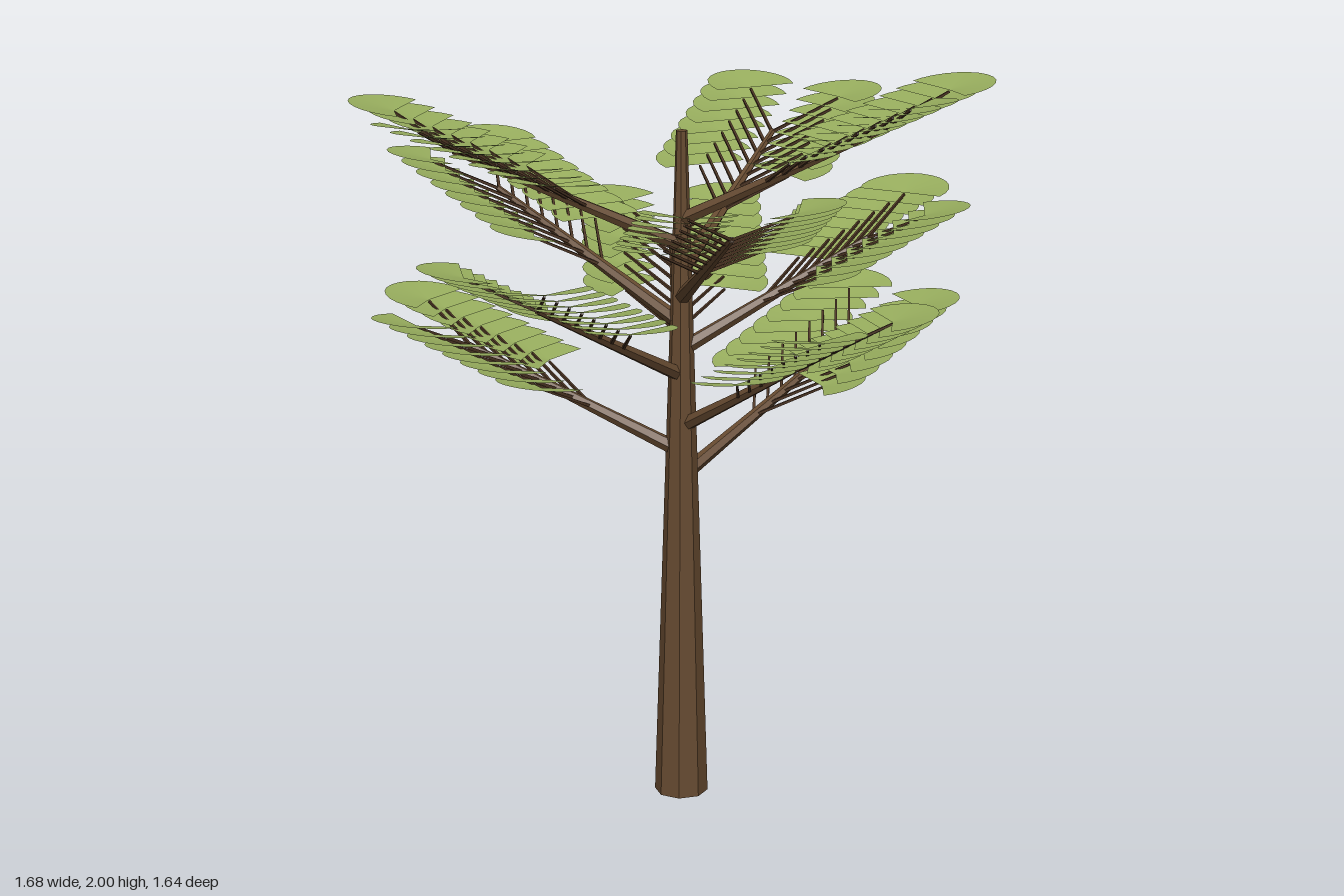
import * as THREE from 'three';

const bark = new THREE.MeshStandardMaterial({ color: 0x664a30, flatShading: true });
const twigBark = new THREE.MeshStandardMaterial({ color: 0x4a3322, flatShading: true });
const green = new THREE.MeshStandardMaterial({ color: 0x98ae5e, side: THREE.DoubleSide });

const BRANCHES = 11, LEAVES = 8;
const { degToRad, lerp } = THREE.MathUtils;
const GOLDEN = degToRad(137.5);

// Three branch kinds in turn: horizontal reach and steepness
const KINDS = [
  { reach: 0.605, slope: 0.475 },
  { reach: 0.56, slope: 0.51 },
  { reach: 0.495, slope: 0.58 },
];

// Slightly cupped fan, open at the back, pointing along +x
const FAN = degToRad(210);
const leafGeometry = new THREE.ConeGeometry(0.12, 0.012, 14, 1, true, Math.PI / 2 - FAN / 2, FAN);
leafGeometry.translate(0, -0.006, 0);
leafGeometry.rotateX(Math.PI);

// Tapered rod between two points
function rod(name, from, to, r0, r1, sides, material) {
  const dir = to.clone().sub(from);
  const mesh = new THREE.Mesh(new THREE.CylinderGeometry(r1, r0, dir.length(), sides), material);
  mesh.position.copy(from).addScaledVector(dir, 0.5);
  mesh.quaternion.setFromUnitVectors(new THREE.Vector3(0, 1, 0), dir.normalize());
  mesh.name = name;
  return mesh;
}

// Branch pointing along +x with a row of leaves on each side
function createBranch({ reach, slope }) {
  const branch = new THREE.Group();
  branch.name = 'branch';
  const tip = new THREE.Vector3(reach, reach * slope, 0);
  branch.add(rod('branchStem', new THREE.Vector3(), tip, 0.021, 0.008, 6, bark));

  for (let i = 0; i < LEAVES; i++) {
    const x = lerp(reach * 0.42, reach - 0.005, i / (LEAVES - 1));
    const start = new THREE.Vector3(x, x * slope, 0);
    for (const side of [-1, 1]) {
      const end = new THREE.Vector3(x + 0.125, x * slope + 0.085, side * 0.135);
      branch.add(rod('twig', start, end, 0.0055, 0.004, 4, twigBark));
      // The fans tilt up outwards; those on one side turn further from the stem
      const leaf = new THREE.Mesh(leafGeometry, green);
      leaf.name = 'leaf';
      leaf.position.copy(end);
      leaf.position.y += 0.004;
      leaf.rotation.set(0, degToRad(side < 0 ? 55 : -25), 0.14);
      branch.add(leaf);
    }
  }
  return branch;
}

export function createModel() {
  const tree = new THREE.Group();
  tree.name = 'tree';
  tree.position.z = 0.036;

  // Trunk
  tree.add(rod('trunk', new THREE.Vector3(), new THREE.Vector3(0, 1.83, 0), 0.072, 0.015, 8, bark));

  // Branches climb the trunk in a spiral
  for (let i = 0; i < BRANCHES; i++) {
    const branch = createBranch(KINDS[i % KINDS.length]);
    branch.position.y = 0.895 + 0.07 * i;
    branch.rotation.y = GOLDEN * i;
    tree.add(branch);
  }

  const model = new THREE.Group();
  model.add(tree);
  return model;
}
